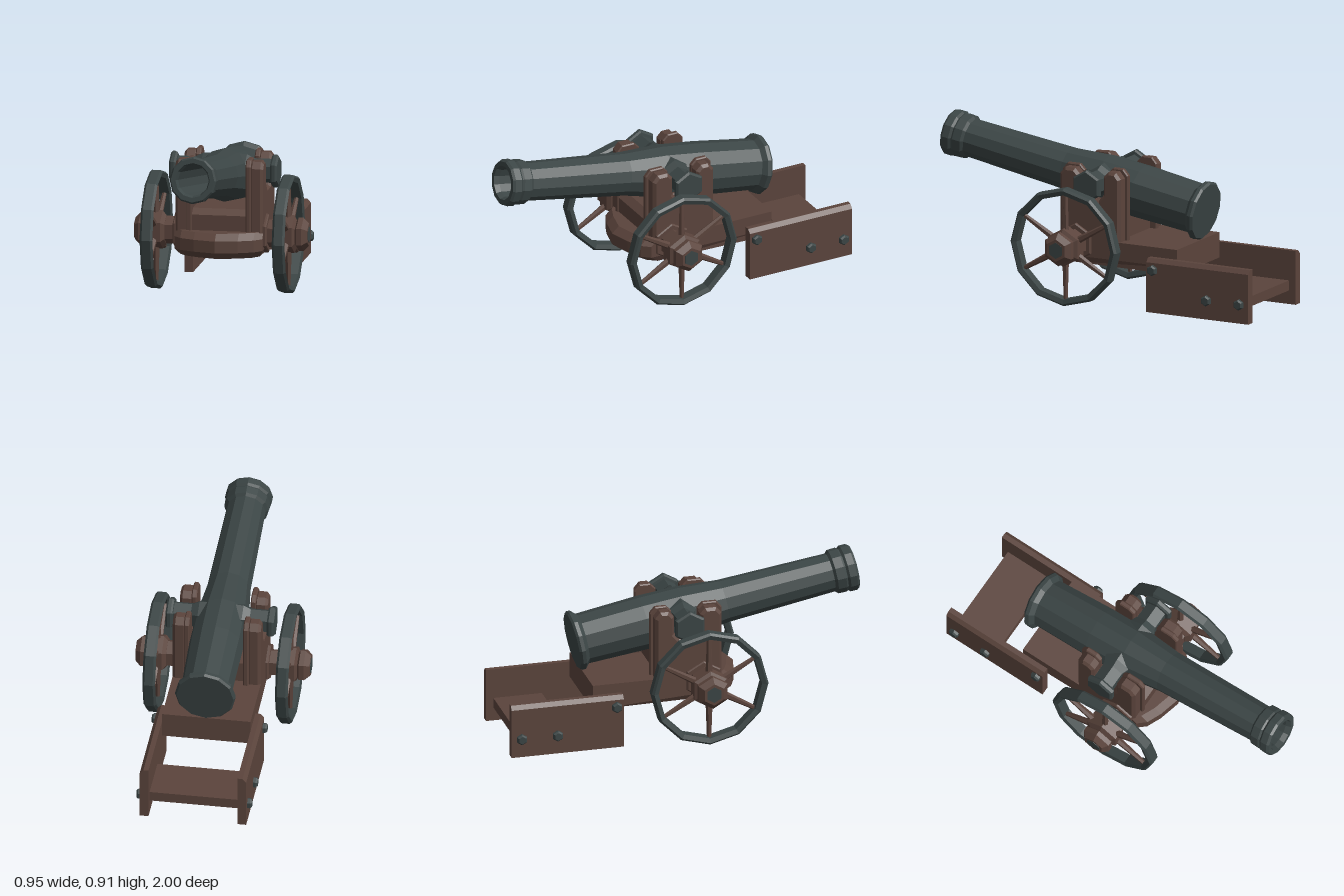
import * as THREE from 'three';

const iron = new THREE.MeshStandardMaterial({ color: 0x3b4545, flatShading: true });
iron.name = 'dark iron';
const wood = new THREE.MeshStandardMaterial({ color: 0x5b443c, flatShading: true });
wood.name = 'brown wood';

function add(parent, name, geometry, material, x = 0, y = 0, z = 0) {
  const mesh = new THREE.Mesh(geometry, material);
  mesh.name = name;
  mesh.position.set(x, y, z);
  parent.add(mesh);
  return mesh;
}

// Turned part: profile of [radius, distance along axis], six-sided ones have a corner on top
function turned(profile, sides) {
  const pts = profile.map(([r, h]) => new THREE.Vector2(r, h));
  return new THREE.LatheGeometry(pts, sides, sides === 6 ? Math.PI / 6 : 0);
}

// Turned part whose axis points sideways, out from the middle on side s
function sideways(parent, name, profile, sides, material, s, y, z, x = 0) {
  const mesh = add(parent, name, turned(profile, sides), material, s * x, y, z);
  mesh.rotation.z = -s * Math.PI / 2;
  return mesh;
}

function shapeOf(points) {
  return new THREE.Shape(points.map(([x, y]) => new THREE.Vector2(x, y)));
}

// Upright plate from a (z, y) outline, spanning x0 to x1 with bevelled edges
function plate(parent, name, outline, x0, x1, bevel) {
  const geo = new THREE.ExtrudeGeometry(shapeOf(outline), {
    depth: x1 - x0 - 2 * bevel, bevelEnabled: true, bevelSize: bevel,
    bevelThickness: bevel, bevelOffset: -bevel, bevelSegments: 1,
  });
  add(parent, name, geo, wood, x1 - bevel).rotation.y = -Math.PI / 2;
}

// Solid lofted through levels; each level is a ring of [x, y, z] corners
function loft(rings) {
  const n = rings[0].length, index = [];
  for (let k = 0; k < rings.length - 1; k++) {
    for (let i = 0; i < n; i++) {
      const a = k * n + i, b = k * n + (i + 1) % n;
      index.push(a, b, b + n, a, b + n, a + n);
    }
  }
  const top = (rings.length - 1) * n;
  for (let i = 1; i < n - 1; i++) {
    index.push(top, top + i, top + i + 1, 0, i + 1, i);
  }
  const geo = new THREE.BufferGeometry();
  geo.setAttribute('position', new THREE.Float32BufferAttribute(rings.flat(2), 3));
  geo.setIndex(index);
  geo.computeVertexNormals();
  return geo;
}

// Cheek outline with two posts and a cradle for the trunnion
function cheekOutline(back, front, top) {
  return [
    [back, 0.3], [front, 0.3], [front, top - 0.035], [front - 0.03, top], [0.095, top],
    [0.065, top - 0.03], [0.065, 0.6], [0.035, 0.565], [-0.05, 0.565], [-0.08, 0.6],
    [-0.08, top - 0.03], [-0.11, top], [back + 0.03, top], [back, top - 0.035],
  ];
}

function wheel(s) {
  const group = new THREE.Group();
  group.name = s > 0 ? 'leftWheel' : 'rightWheel';
  group.position.set(0, 0.325, 0.08);
  sideways(group, 'rim', [
    [0.288, -0.027], [0.313, -0.035], [0.325, -0.023], [0.325, 0.023],
    [0.313, 0.035], [0.288, 0.027], [0.288, -0.027],
  ], 12, iron, s, 0, 0, 0.361);
  for (let i = 0; i < 6; i++) {
    const a = i * Math.PI / 3;
    const spoke = add(group, 'spoke', new THREE.CylinderGeometry(0.012, 0.02, 0.22, 6), wood,
      s * 0.361, 0.19 * Math.cos(a), 0.19 * Math.sin(a));
    spoke.rotation.x = a;
  }
  sideways(group, 'hub', [
    [0, 0.305], [0.08, 0.305], [0.105, 0.325], [0.105, 0.395], [0.076, 0.408],
    [0.092, 0.418], [0.092, 0.445], [0.062, 0.474], [0, 0.474],
  ], 6, wood, s, 0, 0);
  sideways(group, 'hubCap', [[0.045, 0.47], [0.045, 0.476], [0, 0.476]], 6, iron, s, 0, 0);
  return group;
}

export function createModel() {
  const model = new THREE.Group();
  model.name = 'cannon';

  // Barrel with a deep bore, breech ring and muzzle rings
  const tilt = 0.169;
  const barrel = add(model, 'barrel', turned([
    [0, 0], [0.155, 0], [0.165, 0.012], [0.163, 0.032], [0.139, 0.055], [0.147, 0.4],
    [0.143, 0.62], [0.118, 0.85], [0.106, 1.455], [0.121, 1.468], [0.123, 1.515],
    [0.117, 1.525], [0.128, 1.537], [0.128, 1.575], [0.119, 1.588], [0.094, 1.588],
    [0.084, 1.56], [0.084, 0.4], [0, 0.4],
  ], 12), iron, 0, 0.52, -0.585);
  barrel.rotation.x = Math.PI / 2 - tilt;

  // Carriage bed with a rounded, bevelled nose
  const half = [[0.24, 0.2], [0.2, 0.245], [0.12, 0.28], [0, 0.31]];
  const nose = [...half.map(([x, z]) => [-x, z]), ...half.slice(0, 3).reverse()];
  const bedRing = (y, inset, narrow) => [
    [-0.24, y, -0.535],
    ...nose.map(([x, z]) => [x * narrow, y, z - inset]),
    [0.24, y, -0.535],
  ];
  add(model, 'carriageBed', loft([
    bedRing(0.21, 0.05, 0.91), bedRing(0.25, 0, 1), bedRing(0.315, 0, 1), bedRing(0.35, 0.04, 1),
  ]), wood);

  // Bevelled block between the cheeks
  const block = (y, z) => [[-0.155, y, -0.16], [-0.155, y, z], [0.155, y, z], [0.155, y, -0.16]];
  add(model, 'transom', loft([block(0.34, 0.19), block(0.435, 0.19), block(0.465, 0.15)]), wood);

  // Axle
  const axle = add(model, 'axle', turned([[0, -0.31], [0.076, -0.31], [0.076, 0.31], [0, 0.31]], 6),
    wood, 0, 0.325, 0.08);
  axle.rotation.z = Math.PI / 2;

  // Trail crossboard
  add(model, 'trailBoard', new THREE.BoxGeometry(0.49, 0.055, 0.27), wood, 0, 0.103, -0.825);

  for (const s of [1, -1]) {
    const span = (a, b) => (s > 0 ? [a, b] : [-b, -a]);

    // Cheeks holding the trunnions
    plate(model, 'cheek', cheekOutline(-0.185, 0.185, 0.73), ...span(0.165, 0.24), 0.015);
    plate(model, 'innerCheek', cheekOutline(-0.2, 0.2, 0.742), ...span(0.147, 0.176), 0.006);

    sideways(model, 'trunnion', [
      [0, 0.06], [0.09, 0.06], [0.086, 0.12], [0.066, 0.16], [0.066, 0.255], [0.082, 0.257],
      [0.091, 0.267], [0.091, 0.285], [0.08, 0.295], [0, 0.295],
    ], 6, iron, s, 0.65, -0.005);

    sideways(model, 'axleCollar', [[0, 0.23], [0.107, 0.23], [0.107, 0.25], [0.1, 0.256], [0, 0.256]],
      6, wood, s, 0.325, 0.08);
    model.add(wheel(s));

    // Trail side board with a chamfered top outer edge
    const profile = [[0.242, 0], [0.29, 0], [0.29, 0.275], [0.27, 0.297], [0.242, 0.297]];
    add(model, 'trailSide', new THREE.ExtrudeGeometry(shapeOf(profile.map(([x, y]) => [s * x, y])),
      { depth: 0.625, bevelEnabled: false }), wood, 0, 0, -1);

    for (const [y, z] of [[0.235, -0.415], [0.105, -0.745], [0.105, -0.945]]) {
      sideways(model, 'bolt', [[0, 0.28], [0.03, 0.28], [0.03, 0.305], [0.022, 0.314], [0, 0.314]],
        6, iron, s, y, z);
    }
  }
  return model;
}
